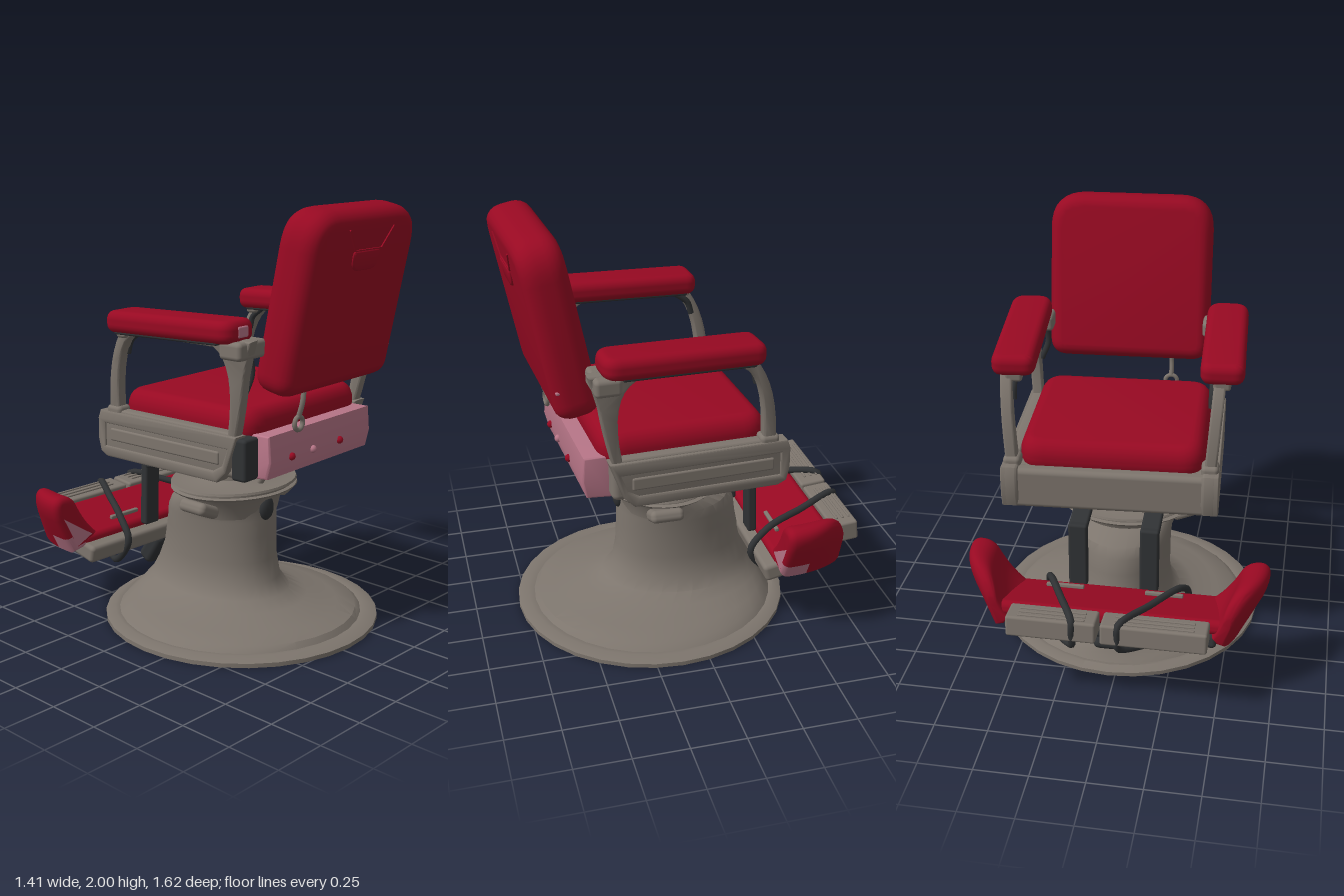
import * as THREE from 'three';
import { toCreasedNormals } from 'three/addons/utils/BufferGeometryUtils.js';
import { RoundedBoxGeometry } from 'three/addons/geometries/RoundedBoxGeometry.js';

const material = (name, color) => {
  const m = new THREE.MeshStandardMaterial({ color });
  m.name = name;
  return m;
};

export function createModel() {
  const red = material('red leather', 0x980922);
  const metal = material('warm grey enamel', 0x7d756d);
  const dark = material('dark iron', 0x303234);
  const pink = material('faded pink leather', 0xb87688);

  const model = new THREE.Group();
  const add = (parent, name, geo, mat, x = 0, y = 0, z = 0, rx = 0, ry = 0, rz = 0) => {
    const mesh = new THREE.Mesh(geo, mat);
    mesh.name = name;
    mesh.position.set(x, y, z);
    mesh.rotation.set(rx, ry, rz);
    parent.add(mesh);
    return mesh;
  };
  const group = (name, parent = model) => {
    const g = new THREE.Group();
    g.name = name;
    parent.add(g);
    return g;
  };
  const rbox = (w, h, d, r = 0.02) => new RoundedBoxGeometry(w, h, d, 4, r);
  const vec = p => new THREE.Vector3(...p);
  const tube = (pts, r, closed = false) =>
    new THREE.TubeGeometry(new THREE.CatmullRomCurve3(pts.map(vec), closed, 'centripetal'), 48, r, 8, closed);
  const polygon = pts => new THREE.Shape(pts.map(p => new THREE.Vector2(...p)));
  const extrude = (shape, depth, bevel, size = bevel) => {
    const g = new THREE.ExtrudeGeometry(shape, {
      depth: depth - 2 * bevel, bevelThickness: bevel, bevelSize: size,
      bevelOffset: -size, bevelSegments: 5, curveSegments: 8 });
    g.translate(0, 0, -depth / 2 + bevel);
    return toCreasedNormals(g, 0.75);
  };
  // Plate drawn in (z, y) and given thickness along x
  const sidePlate = (shape, depth, bevel) => extrude(shape, depth, bevel).rotateY(-Math.PI / 2);
  // Rounded rectangle with separate top and bottom corner radii
  const roundRect = (w, h, rt, rb) => {
    const s = new THREE.Shape(), a = w / 2, b = h / 2;
    s.moveTo(-a + rb, -b).lineTo(a - rb, -b).quadraticCurveTo(a, -b, a, -b + rb);
    s.lineTo(a, b - rt).quadraticCurveTo(a, b, a - rt, b).lineTo(-a + rt, b);
    s.quadraticCurveTo(-a, b, -a, b - rt).lineTo(-a, -b + rb).quadraticCurveTo(-a, -b, -a + rb, -b);
    return s;
  };
  // Skin through elliptical rings [y, half width, z min, z max]
  const loft = (rings, n = 32) => {
    const pos = [], idx = [];
    for (const [y, rx, z0, z1] of rings) {
      for (let i = 0; i < n; i++) {
        const a = (i / n) * Math.PI * 2;
        pos.push(Math.cos(a) * rx, y, (z0 + z1) / 2 + Math.sin(a) * (z1 - z0) / 2);
      }
    }
    for (let j = 0; j < rings.length - 1; j++) {
      for (let i = 0; i < n; i++) {
        const a = j * n + i, b = j * n + (i + 1) % n;
        idx.push(a, a + n, b, b, a + n, b + n);
      }
    }
    const g = new THREE.BufferGeometry();
    g.setAttribute('position', new THREE.Float32BufferAttribute(pos, 3));
    g.setIndex(idx);
    return toCreasedNormals(g, 0.6);
  };

  // Pedestal: round foot flowing into an elongated column
  const pedestal = group('pedestal');
  pedestal.position.x = 0.035;
  add(pedestal, 'footAndColumn', loft([
    [0, 0.001, 0.129, 0.131], [0, 0.66, -0.53, 0.79], [0.02, 0.66, -0.53, 0.79],
    [0.035, 0.61, -0.49, 0.74], [0.03, 0.585, -0.47, 0.71], [0.055, 0.55, -0.45, 0.69],
    [0.075, 0.46, -0.44, 0.61], [0.11, 0.35, -0.42, 0.46], [0.14, 0.28, -0.4, 0.37],
    [0.2, 0.24, -0.37, 0.32], [0.3, 0.225, -0.325, 0.3], [0.42, 0.225, -0.3, 0.293],
    [0.5, 0.228, -0.29, 0.29], [0.55, 0.233, -0.26, 0.285], [0.6, 0.24, -0.16, 0.29]]), metal);
  const collar = [[0.23, 0.52], [0.245, 0.58], [0.27, 0.62], [0.32, 0.635], [0.33, 0.645], [0.31, 0.65],
    [0.31, 0.66], [0.33, 0.665], [0.325, 0.675], [0.2, 0.675], [0.15, 0.69], [0.145, 0.76], [0.19, 0.81], [0, 0.81]];
  add(pedestal, 'collarAndNeck', toCreasedNormals(
    new THREE.LatheGeometry(collar.map(p => new THREE.Vector2(...p)), 32), 0.6), metal, 0, 0, 0.08).scale.z = 0.85;
  for (const s of [-1, 1]) {
    add(pedestal, 'collarLug', rbox(0.13, 0.06, 0.16, 0.025), metal, s * 0.285, 0.585, 0.12, 0, 0, s * 0.4);
  }
  add(pedestal, 'rearPlug', new THREE.SphereGeometry(0.045, 16, 12), dark, 0, 0.56, 0.285).scale.set(1, 1.35, 0.6);
  add(pedestal, 'releaseLever', tube([[0, 0.67, 0.24], [0, 0.73, 0.28], [0, 0.79, 0.31]], 0.017), metal);

  // Upper chair, turned a little on its pedestal
  const chair = group('upperChair');
  chair.position.x = 0.07;
  chair.rotation.y = 0.055;
  add(chair, 'seatPan', rbox(0.92, 0.18, 0.78, 0.03), metal, 0, 0.905, 0.05);
  add(chair, 'frontRail', rbox(0.96, 0.2, 0.07, 0.025), metal, 0, 0.91, -0.325);
  const cushion = extrude(roundRect(0.86, 0.78, 0.12, 0.12), 0.17, 0.08, 0.06).rotateX(-Math.PI / 2);
  add(chair, 'seatCushion', cushion, red, 0, 1.035, 0.09);
  const rearPts = [[0.42, 1.015], [0.55, 1.015], [0.56, 0.9], [0.54, 0.82], [0.42, 0.81]];
  add(chair, 'rearPanel', sidePlate(polygon(rearPts), 0.78, 0.01), pink, 0.005);
  for (const x of [-0.23, -0.07, 0.14]) {
    add(chair, 'panelButton', new THREE.SphereGeometry(0.018, 12, 8), x === -0.07 ? pink : red, x, 0.9, 0.56);
  }
  add(chair, 'hangingRing', new THREE.TorusGeometry(0.03, 0.011, 8, 20), metal, -0.21, 1.05, 0.58);
  add(chair, 'ringStem', tube([[-0.21, 1.08, 0.58], [-0.21, 1.15, 0.6], [-0.2, 1.23, 0.6]], 0.012), metal);
  add(chair, 'rearBlock', rbox(0.1, 0.19, 0.08, 0.015), dark, -0.435, 0.915, 0.46);

  // Backrest with a stitched flap on its rear
  const backrest = group('backrest', chair);
  backrest.position.set(0, 1.595, 0.627);
  backrest.rotation.x = 0.2;
  add(backrest, 'backCushion', extrude(roundRect(0.8, 0.81, 0.17, 0.09), 0.2, 0.075, 0.06), red);
  const flapLines = [[[-0.16, 0.33], [-0.09, 0.235]], [[-0.09, 0.235], [0.11, 0.235]], [[0.11, 0.235], [0.18, 0.33]]];
  for (const [a, b] of flapLines) {
    const dx = b[0] - a[0], dy = b[1] - a[1];
    add(backrest, 'flapSeam', new THREE.BoxGeometry(Math.hypot(dx, dy), 0.008, 0.014), red,
      (a[0] + b[0]) / 2, (a[1] + b[1]) / 2, 0.099, 0, 0, Math.atan2(dy, dx));
  }
  add(backrest, 'flapTab', extrude(roundRect(0.2, 0.09, 0.02, 0.06), 0.03, 0.01), red, 0, 0.19, 0.095);
  add(backrest, 'wornSpot', rbox(0.05, 0.02, 0.04, 0.009), pink, 0.365, -0.25, 0.063);

  // Sides: frame panel, arm hoop, bracket and pad
  const panelPts = [[0.46, 1.02], [-0.36, 1.02], [-0.375, 0.98], [-0.375, 0.88], [-0.36, 0.82], [-0.32, 0.8],
    [0.35, 0.8], [0.4, 0.85]];
  const insetPts = [[0.41, 0.96], [-0.33, 0.96], [-0.33, 0.85], [0.33, 0.85], [0.38, 0.88]];
  for (const s of [-1, 1]) {
    const side = group(s > 0 ? 'leftSide' : 'rightSide', chair);
    add(side, 'sidePanel', sidePlate(polygon(panelPts), 0.07, 0.015), metal, s * 0.455);
    const rim = polygon(panelPts);
    rim.holes.push(polygon(insetPts));
    add(side, 'sidePanelRim', sidePlate(rim, 0.03, 0.008), metal, s * 0.485);
    add(side, 'sidePanelRail', rbox(0.02, 0.06, 0.66, 0.009), metal, s * 0.488, 0.91, 0.03);

    const hoop = new THREE.Shape();
    hoop.moveTo(0.55, 1.45).quadraticCurveTo(0.52, 1.36, 0.5, 1.28).quadraticCurveTo(0.48, 1.15, 0.44, 1);
    hoop.lineTo(-0.31, 1).quadraticCurveTo(-0.31, 1.3, -0.19, 1.44);
    const gap = new THREE.Path();
    gap.moveTo(0.4, 1.03).quadraticCurveTo(0.46, 1.34, 0.34, 1.405).lineTo(-0.13, 1.405);
    gap.quadraticCurveTo(-0.25, 1.35, -0.25, 1.03);
    hoop.holes.push(gap);
    // The hoop leans outward toward the arm
    const hoopGeo = sidePlate(hoop, 0.055, 0.01).translate(0, -1, 0);
    add(side, 'armHoop', hoopGeo, metal, s * 0.455, 1, 0, 0, 0, -s * 0.07);
    add(side, 'backBracket', rbox(0.19, 0.08, 0.12, 0.02), metal, s * 0.465, 1.405, 0.47);
    add(side, 'frontFoot', rbox(0.08, 0.06, 0.09, 0.02), metal, s * 0.455, 1.02, -0.28);
    add(side, 'armSpring', tube([[s * 0.45, 1.41, -0.14], [s * 0.45, 1.36, -0.2], [s * 0.45, 1.3, -0.22]], 0.015), dark);
    add(side, 'rearStrut', tube([[s * 0.41, 1.38, 0.46], [s * 0.405, 1.29, 0.47], [s * 0.44, 1.2, 0.46]], 0.015), dark);
    const arm = group('arm', side);
    arm.position.set(s * 0.478 - 0.015, 1.473, 0.13);
    arm.rotation.set(-0.03, s > 0 ? 0.04 : 0, 0);
    const pad = extrude(roundRect(0.2, 0.73, 0.055, 0.075), 0.1, 0.04, 0.035).rotateX(-Math.PI / 2);
    add(arm, 'armPad', pad, red);
    add(arm, 'armPadBase', rbox(0.16, 0.02, 0.6, 0.008), dark, 0, -0.047, -0.02);
    add(arm, 'armPadEnd', rbox(0.08, 0.05, 0.06, 0.015), metal, 0, -0.055, -0.32);
    if (s < 0) add(arm, 'wornArmEnd', rbox(0.07, 0.05, 0.02, 0.009), pink, 0, 0, 0.358);
  }

  // Footrest carried on two bent struts
  const footrest = group('footrest');
  for (const s of [-1, 1]) {
    const x = 0.035 + s * 0.17;
    add(footrest, 'strutTop', rbox(0.09, 0.035, 0.29, 0.012), dark, x, 0.72, -0.2, -0.2);
    add(footrest, 'strutDrop', rbox(0.09, 0.33, 0.045, 0.012), dark, x, 0.55, -0.33, 0.03);
  }
  add(footrest, 'footrestRail', rbox(1.08, 0.085, 0.16, 0.02), metal, 0, 0.335, -0.385, 0.22);
  add(footrest, 'footrestTray', rbox(0.98, 0.07, 0.32, 0.02), dark, 0, 0.335, -0.525, 0.25);
  add(footrest, 'footPad', rbox(1.08, 0.07, 0.32, 0.03), red, 0, 0.405, -0.515, 0.22);
  add(footrest, 'pivotBlock', rbox(0.16, 0.2, 0.09, 0.03), dark, 0.03, 0.21, -0.43, 0.6);
  for (const [x, w] of [[-0.22, 0.48], [0.245, 0.41]]) {
    add(footrest, 'toePlate', rbox(w, 0.1, 0.13, 0.012), metal, x, 0.435, -0.735, 0.1);
    for (const z of [-0.77, -0.74, -0.71]) {
      add(footrest, 'toePlateRib', rbox(w * 0.75, 0.012, 0.012, 0.004), metal, x, 0.486 - (z + 0.735) * 0.1, z);
    }
    add(footrest, 'padClip', rbox(0.18, 0.02, 0.02, 0.006), metal, x > 0 ? 0.25 : -0.22, 0.43, -0.43, 0.2);
  }
  // Side wings narrow and sweep inward toward the toe end, with a worn lower corner
  const wingProfile = new THREE.Shape();
  wingProfile.moveTo(0.45, 0.41).quadraticCurveTo(0.52, 0.47, 0.57, 0.57).quadraticCurveTo(0.6, 0.63, 0.67, 0.625);
  wingProfile.quadraticCurveTo(0.73, 0.61, 0.69, 0.51).lineTo(0.64, 0.41).lineTo(0.6, 0.335).lineTo(0.52, 0.35);
  const paint = (p, i) => {
    const mean = get => (get(i) + get(i + 1) + get(i + 2)) / 3;
    return mean(k => p.getY(k)) < 0.435 && mean(k => p.getZ(k)) > -0.48 && mean(k => Math.abs(p.getX(k))) > 0.54 ? 1 : 0;
  };
  for (const s of [-1, 1]) {
    const raw = new THREE.ExtrudeGeometry(wingProfile, { depth: 0.25, steps: 8, bevelThickness: 0.035,
      bevelSize: 0.03, bevelOffset: -0.03, bevelSegments: 4, curveSegments: 8 });
    raw.translate(0, 0, -0.645);
    raw.clearGroups();
    const p = raw.attributes.position;
    for (let i = 0; i < p.count; i++) {
      const t = Math.max(0, (-0.39 - p.getZ(i)) / 0.29);
      p.setX(i, s * (0.47 + (p.getX(i) - 0.47) * (1 - 0.6 * t ** 2.2)));
      p.setY(i, 0.36 + (p.getY(i) - 0.36) * (1 - 0.4 * t ** 6));
    }
    for (let i = 0; i < p.count; i += 3) {
      // Swap corners on the mirrored wing so its faces stay outward
      if (s < 0) {
        const a = [p.getX(i), p.getY(i), p.getZ(i)];
        p.setXYZ(i, p.getX(i + 1), p.getY(i + 1), p.getZ(i + 1));
        p.setXYZ(i + 1, ...a);
      }
      raw.addGroup(i, 3, paint(p, i));
    }
    // Merge neighbouring groups that share a material
    raw.groups = raw.groups.reduce((list, g) => {
      const last = list[list.length - 1];
      if (last && last.materialIndex === g.materialIndex) last.count += g.count;
      else list.push({ ...g });
      return list;
    }, []);
    add(footrest, 'sideWing', toCreasedNormals(raw, 0.8), [red, pink]);
    // Loop strap over the pad and under the tray
    const [xa, xb] = s < 0 ? [-0.06, -0.29] : [0.15, 0.33];
    const xm = (xa + xb) / 2;
    add(footrest, 'strap', tube([[xa, 0.49, -0.785], [xm, 0.47, -0.58], [xb, 0.44, -0.38], [xb + s * 0.03, 0.35, -0.29],
      [xb, 0.21, -0.42], [xm, 0.29, -0.63], [xa, 0.36, -0.775], [xa, 0.42, -0.79]], 0.017, true), dark);
  }
  return model;
}
